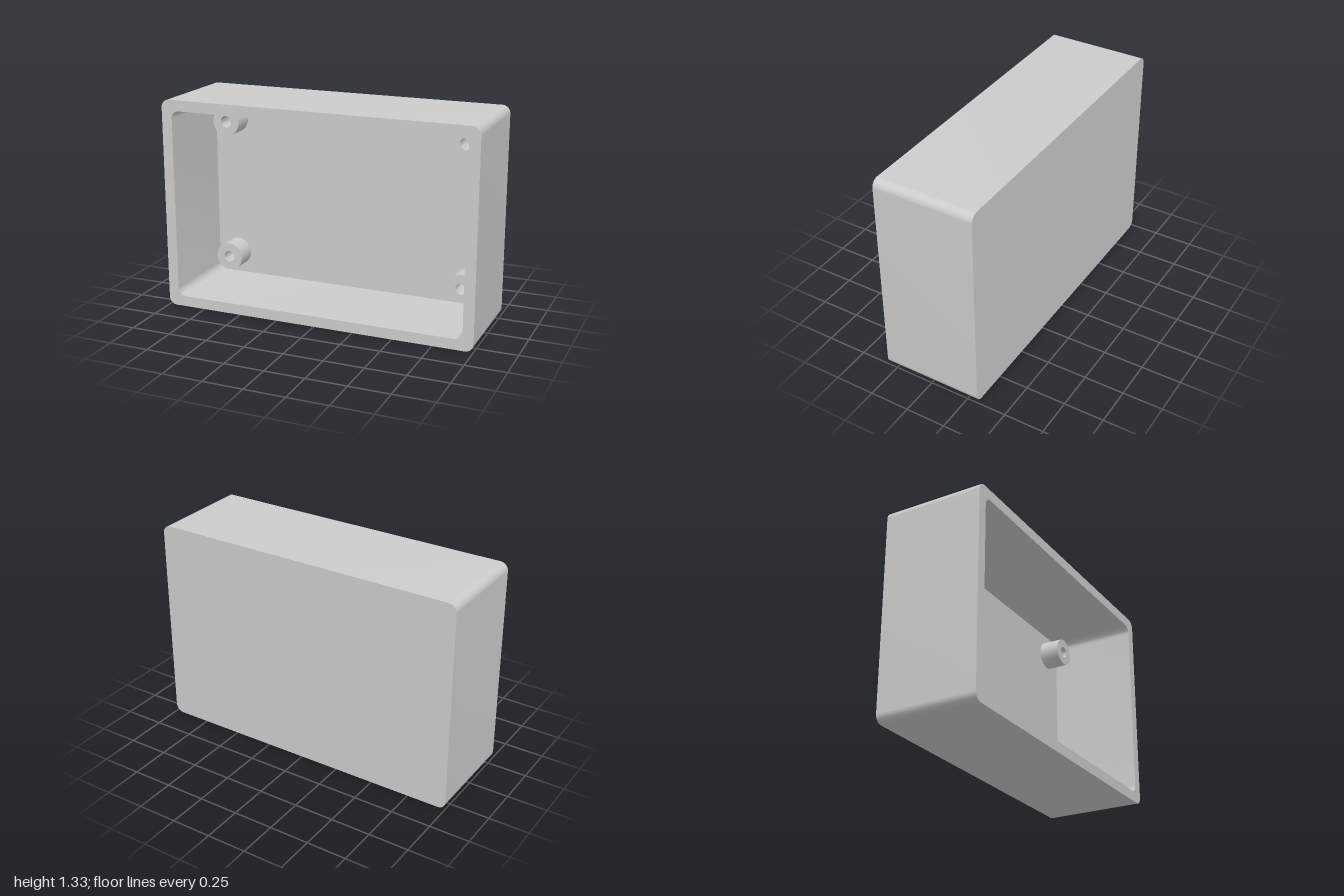
import * as THREE from 'three';
import { toCreasedNormals } from 'three/addons/utils/BufferGeometryUtils.js';

const W = 2, H = 1.325, D = 0.63;   // outer size
const T = 0.067;                    // wall and floor thickness
const R = 0.05;                     // corner radius
const FRONT = D / 2, BACK = -D / 2, FLOOR = BACK + T;

// Rounded rectangle, counter-clockwise, inset from the outer outline
function outline(inset) {
  const x = W / 2 - inset, y0 = inset, y1 = H - inset;
  const s = new THREE.Shape();
  s.absarc(x - R, y0 + R, R, -Math.PI / 2, 0);
  s.absarc(x - R, y1 - R, R, 0, Math.PI / 2);
  s.absarc(-x + R, y1 - R, R, Math.PI / 2, Math.PI);
  s.absarc(-x + R, y0 + R, R, Math.PI, Math.PI * 1.5);
  return s;
}

// Band of quads along an outline from z0 to z1, facing outward or inward
function wall(shape, z0, z1, inward) {
  const pts = shape.getPoints(10);
  if (inward) pts.reverse();
  const pos = [];
  pts.forEach((a, i) => {
    const b = pts[(i + 1) % pts.length];
    if (a.distanceTo(b) < 1e-6) return;
    pos.push(a.x, a.y, z0, b.x, b.y, z0, b.x, b.y, z1);
    pos.push(a.x, a.y, z0, b.x, b.y, z1, a.x, a.y, z1);
  });
  const g = new THREE.BufferGeometry();
  g.setAttribute('position', new THREE.Float32BufferAttribute(pos, 3));
  return toCreasedNormals(g, Math.PI / 6);
}

export function createModel() {
  const group = new THREE.Group();
  const mat = new THREE.MeshStandardMaterial({ color: 0xcccccc });
  const add = (name, geo) => {
    const m = new THREE.Mesh(geo, mat);
    m.name = name;
    group.add(m);
    return m;
  };
  const outer = outline(0), inner = outline(T);

  // Side walls
  add('outerWall', wall(outer, BACK, FRONT, false));
  add('innerWall', wall(inner, FLOOR, FRONT, true));

  // Rim around the open front
  const ring = outline(0);
  ring.holes.push(inner);
  add('rim', new THREE.ShapeGeometry(ring, 10).translate(0, 0, FRONT));

  // Floor inside and panel outside
  add('floor', new THREE.ShapeGeometry(inner, 10).translate(0, 0, FLOOR));
  add('backPanel', new THREE.ShapeGeometry(outer, 10).rotateY(Math.PI).translate(0, 0, BACK));

  // Hollow screw bosses in the four corners
  const bossH = 0.133, bossR = 0.09, holeR = 0.037;
  const profile = [[bossR, 0], [bossR, bossH], [holeR, bossH], [holeR, 0]]
    .map(([x, y]) => new THREE.Vector2(x, y));
  const boss = toCreasedNormals(new THREE.LatheGeometry(profile, 40), Math.PI / 6)
    .rotateX(Math.PI / 2);
  for (const sx of [-1, 1]) for (const sy of [-1, 1]) {
    const name = (sy > 0 ? 'upper' : 'lower') + (sx > 0 ? 'Left' : 'Right') + 'Boss';
    add(name, boss).position.set(sx * 0.793, H / 2 + sy * 0.453, FLOOR);
  }
  return group;
}
